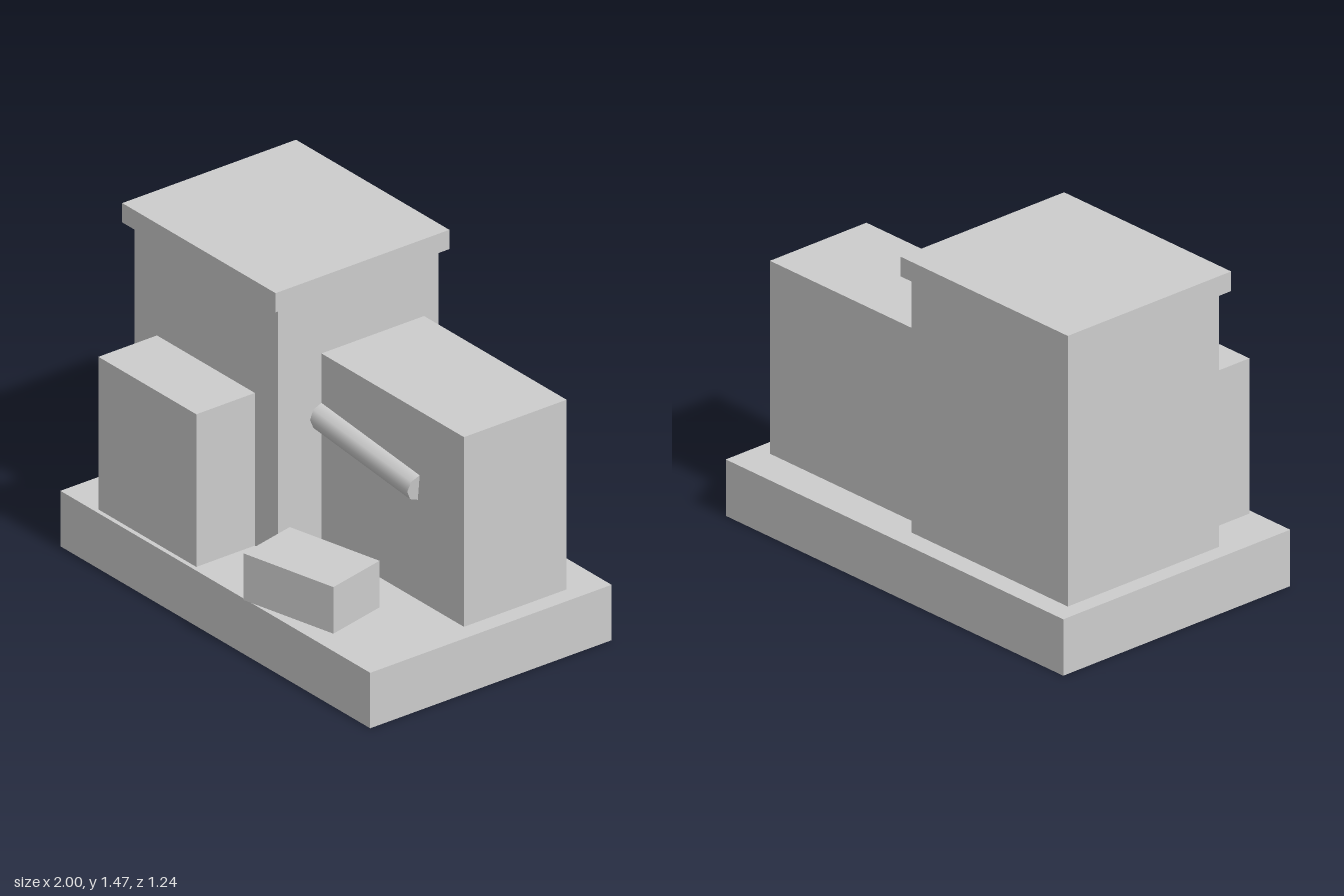
import * as THREE from 'three';

export function createModel() {
  const model = new THREE.Group();
  model.name = 'building';
  const grey = new THREE.MeshStandardMaterial({ color: 0xcccccc });
  grey.name = 'light grey';

  const add = (name, geometry) => {
    const mesh = new THREE.Mesh(geometry, grey);
    mesh.name = name;
    model.add(mesh);
    return mesh;
  };

  // Box given by its lower and upper limits on each axis
  const block = (name, [x0, x1], [y0, y1], [z0, z1]) => {
    const mesh = add(name, new THREE.BoxGeometry(x1 - x0, y1 - y0, z1 - z0));
    mesh.position.set((x0 + x1) / 2, (y0 + y1) / 2, (z0 + z1) / 2);
    return mesh;
  };

  const floor = 0.25;
  block('base', [-1, 1], [0, floor], [-0.618, 0.61]);

  // Tall tower with an overhanging flat roof
  block('tower', [-0.925, 0], [floor, 1.385], [-0.525, 0.292]);
  block('towerRoof', [-0.96, 0.03], [1.385, 1.472], [-0.557, 0.327]);

  // Lower volumes beside and in front of the tower
  block('sideWing', [0, 0.92], [floor, 1.105], [-0.452, 0.07]);
  block('frontAnnex', [-0.78, -0.148], [floor, 0.938], [0.292, 0.59]);

  // Turned crate on the forecourt
  const crate = block('crate', [0.155, 0.617], [floor, 0.46], [0.278, 0.571]);
  crate.rotation.y = 0.222;

  // Sloping eight-sided pipe, half sunk into the wing wall
  const start = new THREE.Vector3(-0.02, 0.826, 0.07);
  const end = new THREE.Vector3(0.628, 0.758, 0.07);
  const pipe = add('pipe', new THREE.CylinderGeometry(0.058, 0.058, start.distanceTo(end), 8));
  pipe.position.copy(start).lerp(end, 0.5);
  pipe.rotation.z = Math.atan2(end.y - start.y, end.x - start.x) - Math.PI / 2;

  return model;
}
